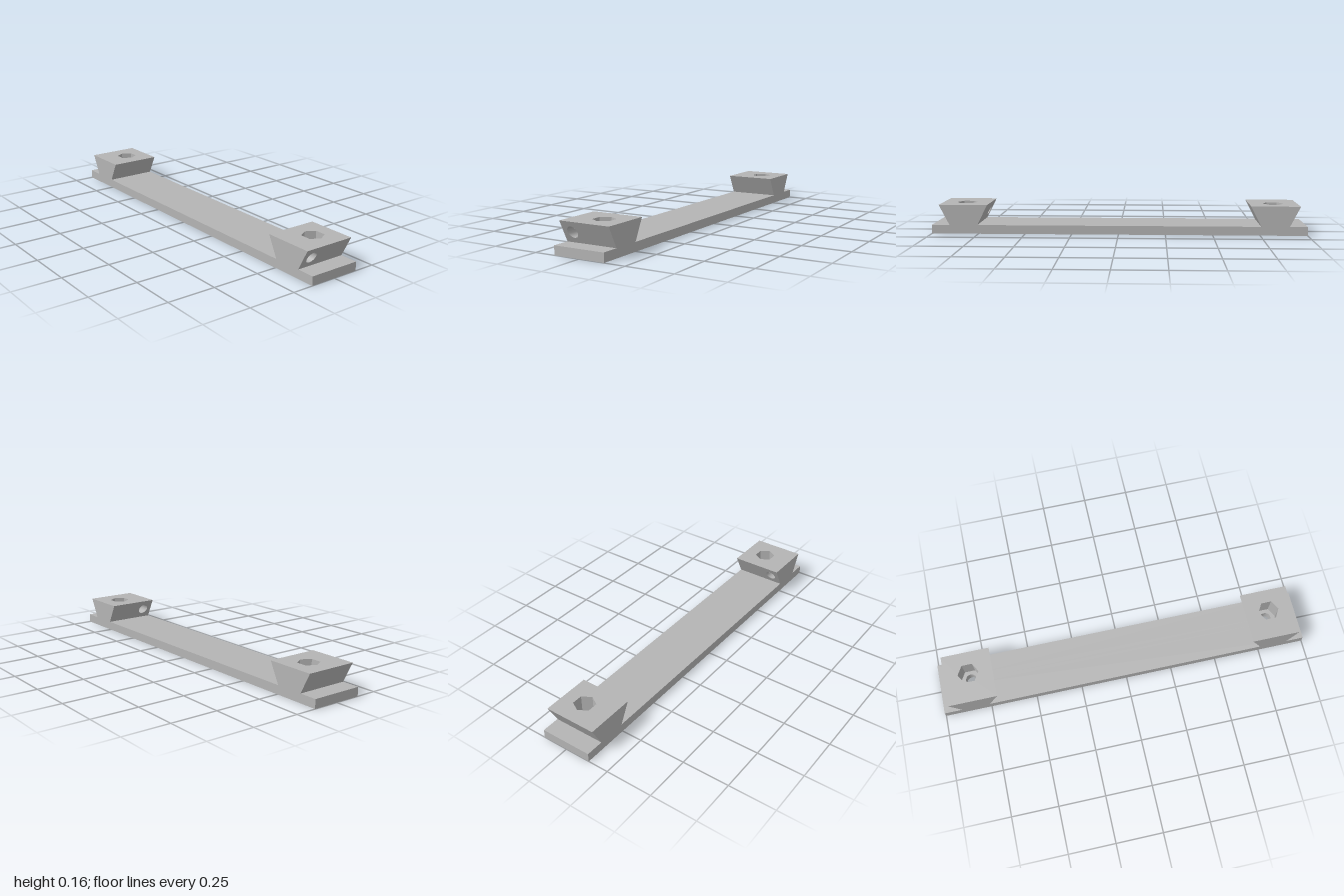
import * as THREE from 'three';
import { mergeGeometries } from 'three/addons/utils/BufferGeometryUtils.js';

const PLATE_H = 0.047, TOP = 0.155, HALF_Z = 0.139;
const FOOT = 0.075, HEAD = 0.13;          // dovetail half widths at bottom and top
const BLOCK_X = 0.83, BOLT_Z = -0.019, BOLT_R = 0.029, NUT_R = 0.056;
const BORE_Z = 0.085, BORE_Y = 0.101, BORE_R = 0.029;

const halfWidth = y => FOOT + (HEAD - FOOT) * (y - PLATE_H) / (TOP - PLATE_H);

const polygon = points => new THREE.Shape(points.map(p => new THREE.Vector2(...p)));
const rectangle = (x, y0, y1) => polygon([[-x, y0], [x, y0], [x, y1], [-x, y1]]);

function addRoundHole(shape, x, y, r) {
  shape.holes.push(new THREE.Path().absarc(x, y, r, 0, Math.PI * 2, true));
}

// Move both ends of a geometry along x onto the slanted flanks
function fitToFlanks(geometry, sideOf) {
  const p = geometry.attributes.position;
  for (let i = 0; i < p.count; i++) p.setX(i, sideOf(p.getX(i)) * halfWidth(p.getY(i)));
  geometry.computeVertexNormals();
  return geometry;
}

function plateGeometry() {
  const shape = rectangle(1, -HALF_Z, HALF_Z);
  for (const s of [-1, 1]) addRoundHole(shape, s * BLOCK_X, -BOLT_Z, BOLT_R);
  return new THREE.ExtrudeGeometry(shape, { depth: PLATE_H, bevelEnabled: false, curveSegments: 32 })
    .rotateX(-Math.PI / 2);
}

function dovetailGeometry(hasBore) {
  const parts = [];

  // Top face with hexagonal opening
  const top = rectangle(HEAD, -HALF_Z, HALF_Z);
  const hex = [];
  for (let i = 0; i < 6; i++) {
    const a = -i * Math.PI / 3;
    hex.push(new THREE.Vector2(Math.cos(a) * NUT_R, Math.sin(a) * NUT_R - BOLT_Z));
  }
  top.holes.push(new THREE.Path(hex));
  parts.push(new THREE.ShapeGeometry(top).rotateX(-Math.PI / 2).translate(0, TOP, 0));

  // Nut pocket walls, facing inward
  const depth = TOP - PLATE_H;
  const pocket = new THREE.CylinderGeometry(NUT_R, NUT_R, depth, 6, 1, true, Math.PI / 2)
    .toNonIndexed().scale(-1, 1, 1).translate(0, PLATE_H + depth / 2, BOLT_Z);
  // Mirroring leaves the corner order as it was, so the faces turn inward
  pocket.computeVertexNormals();
  parts.push(pocket);

  // Front and back trapezoids
  const end = polygon([[-FOOT, PLATE_H], [FOOT, PLATE_H], [HEAD, TOP], [-HEAD, TOP]]);
  parts.push(new THREE.ShapeGeometry(end).translate(0, 0, HALF_Z));
  parts.push(new THREE.ShapeGeometry(end).rotateY(Math.PI).translate(0, 0, -HALF_Z));

  // Slanted flanks
  for (const s of [-1, 1]) {
    const flank = rectangle(HALF_Z, PLATE_H, TOP);
    if (hasBore) addRoundHole(flank, -s * BORE_Z, BORE_Y, BORE_R);
    parts.push(fitToFlanks(new THREE.ShapeGeometry(flank, 32).rotateY(s * Math.PI / 2), () => s));
  }

  // Cross bore wall, facing inward
  if (hasBore) {
    const bore = new THREE.CylinderGeometry(BORE_R, BORE_R, 1, 32, 1, true)
      .rotateZ(Math.PI / 2).scale(-1, 1, 1).translate(0, BORE_Y, BORE_Z);
    parts.push(fitToFlanks(bore, Math.sign));
  }
  return mergeGeometries(parts.map(g => (g.index ? g.toNonIndexed() : g)));
}

export function createModel() {
  const model = new THREE.Group();
  model.name = 'dovetailBar';
  const grey = new THREE.MeshStandardMaterial({ color: 0xb4b4b4, side: THREE.DoubleSide });
  grey.name = 'grey';

  const plate = new THREE.Mesh(plateGeometry(), grey);
  plate.name = 'basePlate';
  model.add(plate);

  // Only the left block has the cross bore
  for (const s of [-1, 1]) {
    const block = new THREE.Mesh(dovetailGeometry(s > 0), grey);
    block.name = s > 0 ? 'leftDovetail' : 'rightDovetail';
    block.position.x = s * BLOCK_X;
    model.add(block);
  }
  return model;
}
